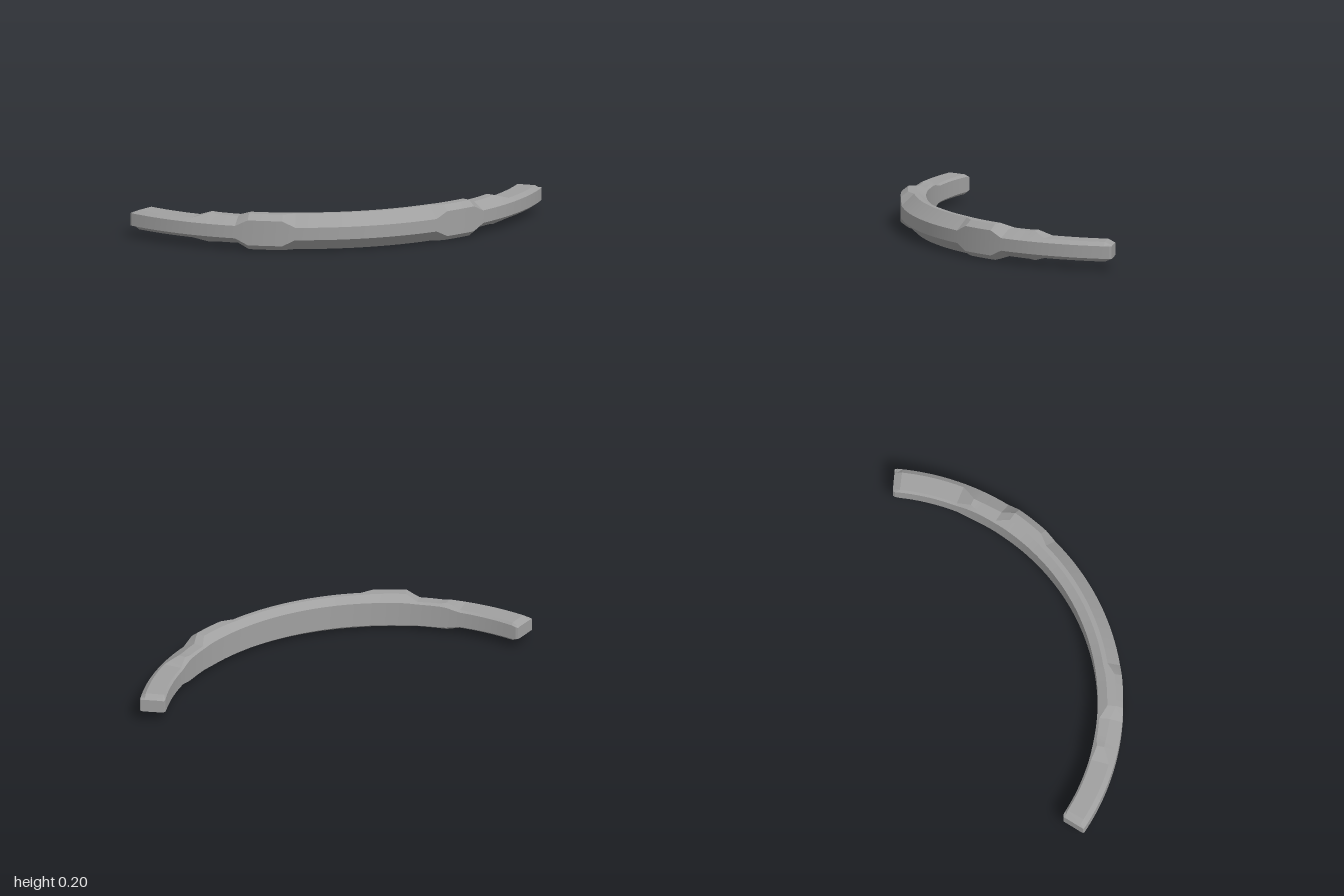
import * as THREE from 'three';
import { toCreasedNormals } from 'three/addons/utils/BufferGeometryUtils.js';

// Arc centre, mid height and angular range (degrees from +x towards +z)
const CX = -0.37, CZ = -0.68, MID_Y = 0.1;
const START = -0.4, END = 117.4;

// Half of the bar, tip to middle:
// [degrees from tip, outer radius, outer wall half height, top outer radius,
//  top half height, top inner radius, inner wall half height, inner radius]
const STATIONS = [
  [0, 1.367, 0.035, 1.343, 0.036, 1.25, 0.034, 1.237],
  [0.6, 1.37, 0.035, 1.343, 0.043, 1.245, 0.037, 1.231],
  [1.8, 1.37, 0.035, 1.343, 0.055, 1.242, 0.042, 1.23],
  [16.7, 1.37, 0.035, 1.343, 0.055, 1.242, 0.045, 1.23],
  [20.3, 1.37, 0.035, 1.295, 0.082, 1.255, 0.062, 1.23],
  [22, 1.37, 0.035, 1.295, 0.077, 1.245, 0.065, 1.23],
  [27.8, 1.37, 0.035, 1.3, 0.075, 1.243, 0.066, 1.23],
  [30.8, 1.37, 0.07, 1.332, 0.1, 1.283, 0.07, 1.23],
  [38.8, 1.37, 0.07, 1.33, 0.1, 1.28, 0.07, 1.23],
  [41.8, 1.37, 0.035, 1.3, 0.1, 1.275, 0.07, 1.23],
  [58.9, 1.37, 0.035, 1.3, 0.1, 1.275, 0.07, 1.23],
];

// Interpolated measurements at a distance from the nearer tip
function stationAt(t) {
  let i = 0;
  while (i < STATIONS.length - 2 && t > STATIONS[i + 1][0]) i++;
  const a = STATIONS[i], b = STATIONS[i + 1];
  const f = THREE.MathUtils.clamp((t - a[0]) / (b[0] - a[0]), 0, 1);
  return a.map((v, k) => v + (b[k] - v) * f);
}

// Eight-sided cross-section placed on the arc
function ringAt(angle) {
  const [, ro, ho, rt, ht, ri, hi, rin] = stationAt(Math.min(angle - START, END - angle));
  const section = [
    [ro, -ho], [ro, ho], [rt, ht], [ri, ht],
    [rin, hi], [rin, -hi], [ri, -ht], [rt, -ht],
  ];
  const a = THREE.MathUtils.degToRad(angle);
  return section.map(([r, y]) => [CX + r * Math.cos(a), MID_Y + y, CZ + r * Math.sin(a)]);
}

function barGeometry() {
  // Exact breakpoints on both halves, with fine steps between them
  const half = [];
  for (let i = 0; i < STATIONS.length - 1; i++) {
    const a = STATIONS[i][0], b = STATIONS[i + 1][0];
    const n = Math.ceil((b - a) / 1.5);
    for (let k = 0; k < n; k++) half.push(a + ((b - a) * k) / n);
  }
  const middle = (END - START) / 2;
  const angles = [
    ...half.map((t) => START + t),
    START + middle,
    ...half.map((t) => END - t).reverse(),
  ];
  const positions = [], index = [];
  angles.forEach((angle) => ringAt(angle).forEach((p) => positions.push(...p)));

  // Long faces
  for (let i = 0; i < angles.length - 1; i++) {
    for (let k = 0; k < 8; k++) {
      const a = i * 8 + k, b = i * 8 + ((k + 1) % 8), c = a + 8, d = b + 8;
      index.push(a, b, c, b, d, c);
    }
  }
  // End caps
  const last = (angles.length - 1) * 8;
  for (let k = 1; k < 7; k++) {
    index.push(0, k + 1, k);
    index.push(last, last + k, last + k + 1);
  }
  const geometry = new THREE.BufferGeometry();
  geometry.setAttribute('position', new THREE.Float32BufferAttribute(positions, 3));
  geometry.setIndex(index);
  return toCreasedNormals(geometry, 0.2);
}

export function createModel() {
  const group = new THREE.Group();
  group.name = 'curvedBar';
  const grey = new THREE.MeshStandardMaterial({ color: 0xa0a0a0 });
  grey.name = 'grey';
  const bar = new THREE.Mesh(barGeometry(), grey);
  bar.name = 'chamferedArc';
  group.add(bar);
  return group;
}
